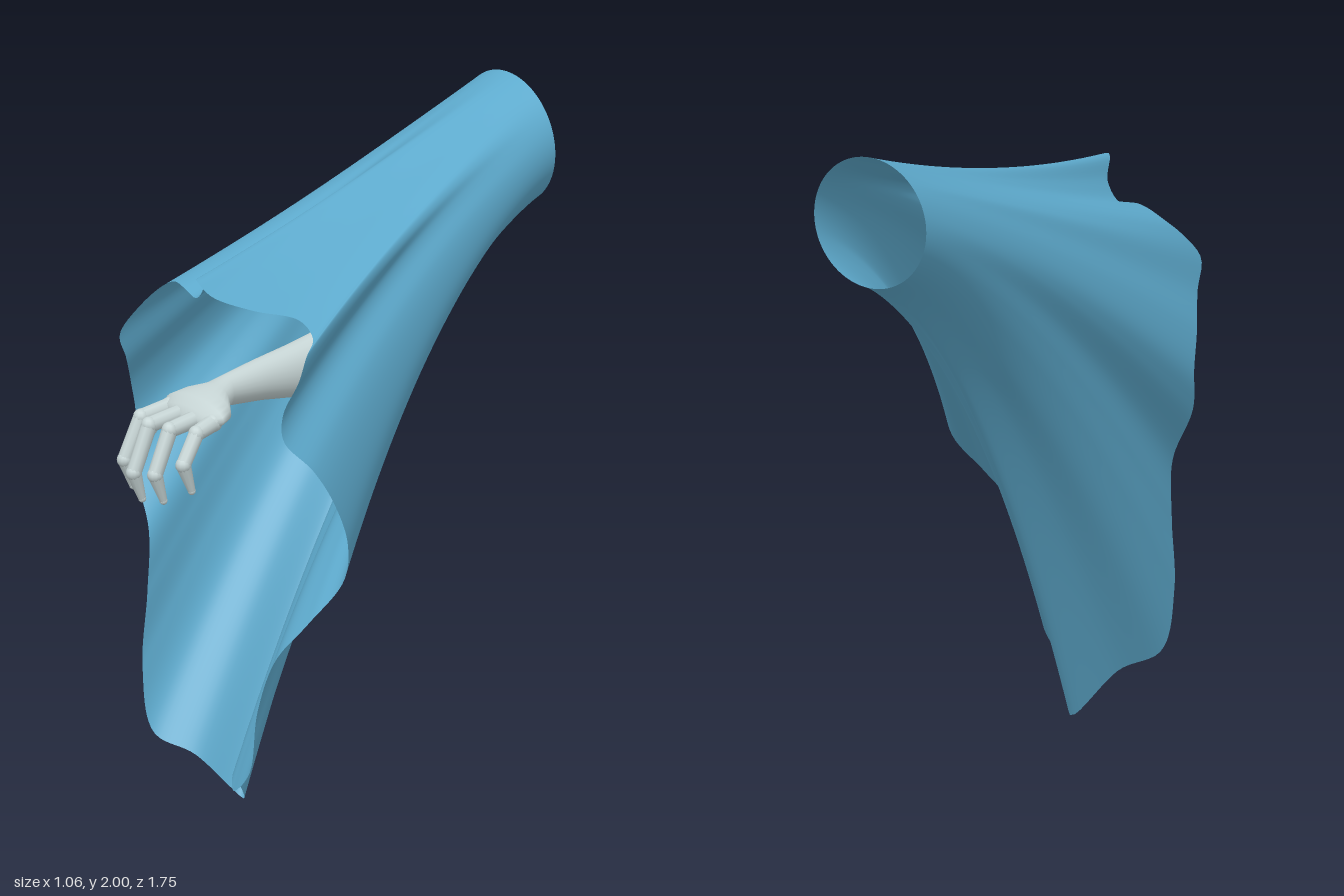
import * as THREE from 'three';

const cloth = new THREE.MeshStandardMaterial({ color: 0x5eabce, side: THREE.DoubleSide });
cloth.name = 'blue cloth';
const bone = new THREE.MeshStandardMaterial({ color: 0xc6d4d4, side: THREE.DoubleSide });
bone.name = 'pale bone';

const V = (p) => new THREE.Vector3(...p);

// Smooth grid surface from closed cross-sections given by point(u, v)
function loft(point, around, along) {
  const pos = [], index = [];
  for (let j = 0; j <= along; j++) {
    for (let i = 0; i < around; i++) pos.push(...point(i, j / along));
  }
  for (let j = 0; j < along; j++) {
    for (let i = 0; i < around; i++) {
      const a = j * around + i, b = j * around + (i + 1) % around;
      index.push(a, b, a + around, b, b + around, a + around);
    }
  }
  const g = new THREE.BufferGeometry();
  g.setAttribute('position', new THREE.Float32BufferAttribute(pos, 3));
  g.setIndex(index);
  g.computeVertexNormals();
  return g;
}

// Wavy hem, clockwise from the top peak as seen from the front
const hemTopAndLeft = [
  [0.03, 1.725, 0.62], [0.11, 1.69, 0.62], [0.2, 1.65, 0.53], [0.28, 1.62, 0.42],
  [0.38, 1.59, 0.44], [0.46, 1.565, 0.53], [0.485, 1.5, 0.58], [0.46, 1.4, 0.62],
  [0.475, 1.32, 0.63], [0.52, 1.22, 0.55], [0.53, 1.1, 0.475], [0.515, 0.95, 0.41],
  [0.48, 0.82, 0.4], [0.43, 0.69, 0.5], [0.36, 0.57, 0.57], [0.315, 0.4, 0.605],
  [0.285, 0.2, 0.61], [0.2, 0.115, 0.605],
];
const hemBottomAndRight = [
  [0.1, 0.13, 0.53], [0, 0, 0.41], [-0.1, 0.14, 0.52], [-0.2, 0.2, 0.6],
  [-0.25, 0.4, 0.605], [-0.27, 0.63, 0.57], [-0.295, 0.82, 0.545], [-0.4, 1.0, 0.52],
  [-0.44, 1.14, 0.48], [-0.425, 1.25, 0.51], [-0.375, 1.36, 0.57], [-0.355, 1.45, 0.61],
  [-0.335, 1.53, 0.55], [-0.305, 1.59, 0.485], [-0.26, 1.615, 0.475], [-0.19, 1.62, 0.495],
  [-0.1, 1.61, 0.515], [-0.04, 1.66, 0.535],
];

function sleeveGeometry() {
  const N = 240;
  const hem = new THREE.CatmullRomCurve3([...hemTopAndLeft, ...hemBottomAndRight].map(V), true);
  hem.arcLengthDivisions = 800;
  const rim = hem.getSpacedPoints(N);
  // Every strand leaves the arm opening in one direction, then bends to the hem
  const driftX = 0.18, driftY = -0.44;
  return loft((i, t) => {
    const a = (i / N) * Math.PI * 2;
    const x = -0.305 + 0.228 * Math.sin(a), y = 1.795 + 0.205 * Math.cos(a);
    const h = rim[i];
    const bendX = t ** 1.6, bendY = t ** (1.75 + 0.1 * Math.cos(a));
    return [
      x + driftX * t + (h.x - x - driftX) * bendX,
      y + driftY * t + (h.y - y - driftY) * bendY,
      THREE.MathUtils.lerp(-0.875, h.z, t),
    ];
  }, N, 60);
}

// Chain of tapered bones with rounded joints
function boneChain(name, points, radii) {
  const g = new THREE.Group();
  g.name = name;
  const p = points.map(V);
  p.forEach((a, i) => {
    const joint = new THREE.Mesh(new THREE.SphereGeometry(radii[i] * 1.05, 12, 8), bone);
    joint.position.copy(a);
    joint.name = name + 'Joint';
    g.add(joint);
    if (i === p.length - 1) return;
    const d = p[i + 1].clone().sub(a);
    const seg = new THREE.Mesh(
      new THREE.CylinderGeometry(radii[i + 1], radii[i], d.length(), 10), bone);
    seg.position.copy(a).addScaledVector(d, 0.5);
    seg.quaternion.setFromUnitVectors(new THREE.Vector3(0, 1, 0), d.normalize());
    seg.name = name + 'Bone';
    g.add(seg);
  });
  return g;
}

// Palm and forearm as one loft: [x, y, z, half width, half height]
function armGeometry() {
  const sections = [
    [0.003, 1.33, 0.09, 0.075, 0.13], [0.003, 1.34, 0.14, 0.07, 0.105],
    [0.006, 1.345, 0.22, 0.064, 0.085], [0.012, 1.345, 0.36, 0.055, 0.065],
    [0.025, 1.342, 0.5, 0.046, 0.048], [0.04, 1.335, 0.55, 0.07, 0.045],
    [0.055, 1.325, 0.6, 0.125, 0.05], [0.057, 1.315, 0.645, 0.142, 0.046],
    [0.06, 1.305, 0.68, 0.11, 0.034], [0.06, 1.3, 0.692, 0.002, 0.002],
  ];
  const M = 24;
  return loft((i, t) => {
    const [x, y, z, w, h] = sections[Math.round(t * (sections.length - 1))];
    const a = (i / M) * Math.PI * 2;
    return [x + w * Math.sin(a), y + h * Math.cos(a), z];
  }, M, sections.length - 1);
}

export function createModel() {
  const model = new THREE.Group();
  model.name = 'sleeveWithHand';

  const sleeve = new THREE.Mesh(sleeveGeometry(), cloth);
  sleeve.name = 'sleeve';
  model.add(sleeve);

  const hand = new THREE.Group();
  hand.name = 'hand';
  const arm = new THREE.Mesh(armGeometry(), bone);
  arm.name = 'palmAndForearm';
  hand.add(arm);

  // Four curled fingers: base x, tip x, forward reach, tip height
  const fingers = [
    [-0.05, -0.07, 0.84, 1.07], [0.018, 0.012, 0.87, 1.055],
    [0.092, 0.094, 0.852, 1.065], [0.16, 0.18, 0.81, 1.11],
  ];
  fingers.forEach(([bx, tx, reach, tipY]) => {
    hand.add(boneChain('finger', [
      [bx, 1.305, 0.655],
      [THREE.MathUtils.lerp(bx, tx, 0.6), 1.288, reach - 0.08],
      [tx, tipY + 0.09, reach - 0.022],
      [tx, tipY, reach - 0.055],
    ], [0.028, 0.025, 0.024, 0.012]));
  });

  hand.add(boneChain('thumb', [
    [-0.04, 1.31, 0.56], [-0.135, 1.25, 0.635], [-0.1, 1.172, 0.735],
  ], [0.034, 0.027, 0.012]));
  model.add(hand);
  return model;
}
